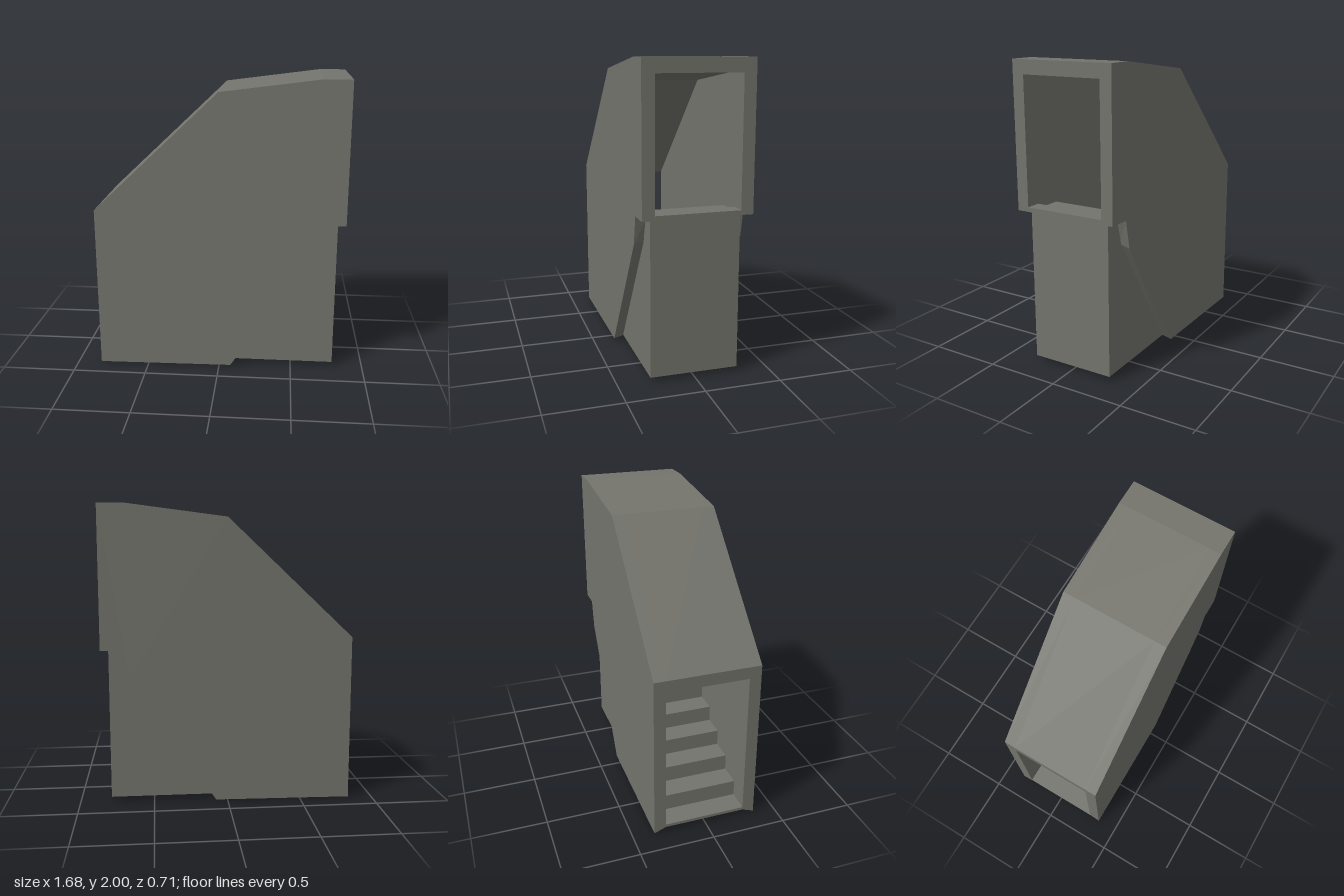
import * as THREE from 'three';

const INNER = 0.275; // half width of the passage
const OUTER = 0.355; // half width of the housing

// Extrude an x-y profile from z0 to z1
function slab(points, z0, z1) {
  const shape = new THREE.Shape(points.map(([x, y]) => new THREE.Vector2(x, y)));
  const geometry = new THREE.ExtrudeGeometry(shape, { depth: z1 - z0, bevelEnabled: false });
  return geometry.translate(0, 0, z0);
}

// Side wall whose lower edge is bevelled up towards the inside
function sideWall(side) {
  const profile = [
    [-0.84, 0], [0.08, 0.01], [0.65, 0.86], [0.69, 1.05], [0.84, 1.05],
    [0.84, 2], [0.66, 2], [0, 1.915], [-0.84, 1.12],
  ];
  const geometry = side > 0 ? slab(profile, INNER, OUTER) : slab(profile, -OUTER, -INNER);
  const p = geometry.attributes.position;
  for (let i = 0; i < p.count; i++) {
    if (Math.abs(p.getZ(i)) > (INNER + OUTER) / 2) continue;
    if (p.getY(i) < 0.05) p.setY(i, 0.03);
    else if (p.getY(i) < 0.9) p.setXY(i, p.getX(i) - 0.01, 0.875);
  }
  geometry.computeVertexNormals();
  return geometry;
}

export function createModel() {
  const model = new THREE.Group();
  model.name = 'coveredStairway';
  const concrete = new THREE.MeshStandardMaterial({ color: 0x74746d });
  concrete.name = 'grey concrete';
  const add = (name, geometry) => {
    const mesh = new THREE.Mesh(geometry, concrete);
    mesh.name = name;
    model.add(mesh);
    return mesh;
  };

  // Mirrored side walls
  add('leftWall', sideWall(1));
  add('rightWall', sideWall(-1));

  // Bent roof over the passage
  add('roof', slab([
    [-0.84, 1.12], [-0.84, 1.04], [0.03, 1.83], [0.67, 1.91],
    [0.84, 1.91], [0.84, 2], [0.66, 2], [0, 1.915],
  ], -INNER, INNER));

  // Solid staircase: entry floor, nine steps and the upper landing
  const steps = 9, run = 0.155, floor = 0.03, landing = 1.05;
  const rise = (landing - floor - 0.02) / steps;
  const profile = [[-0.84, 0.03], [0.79, 0.03], [0.79, landing]];
  for (let i = steps - 1; i >= 0; i--) {
    const x = -0.69 + i * run;
    const base = floor + 0.02;
    profile.push([x, base + (i + 1) * rise], [x, base + i * rise]);
  }
  profile.push([-0.84, floor + 0.02]);
  add('staircase', slab(profile, -0.29, 0.29));

  // Raised sill of the upper doorway
  add('upperSill', new THREE.BoxGeometry(0.1, 0.03, 2 * INNER)).position.set(0.79, 1.065, 0);

  return model;
}
